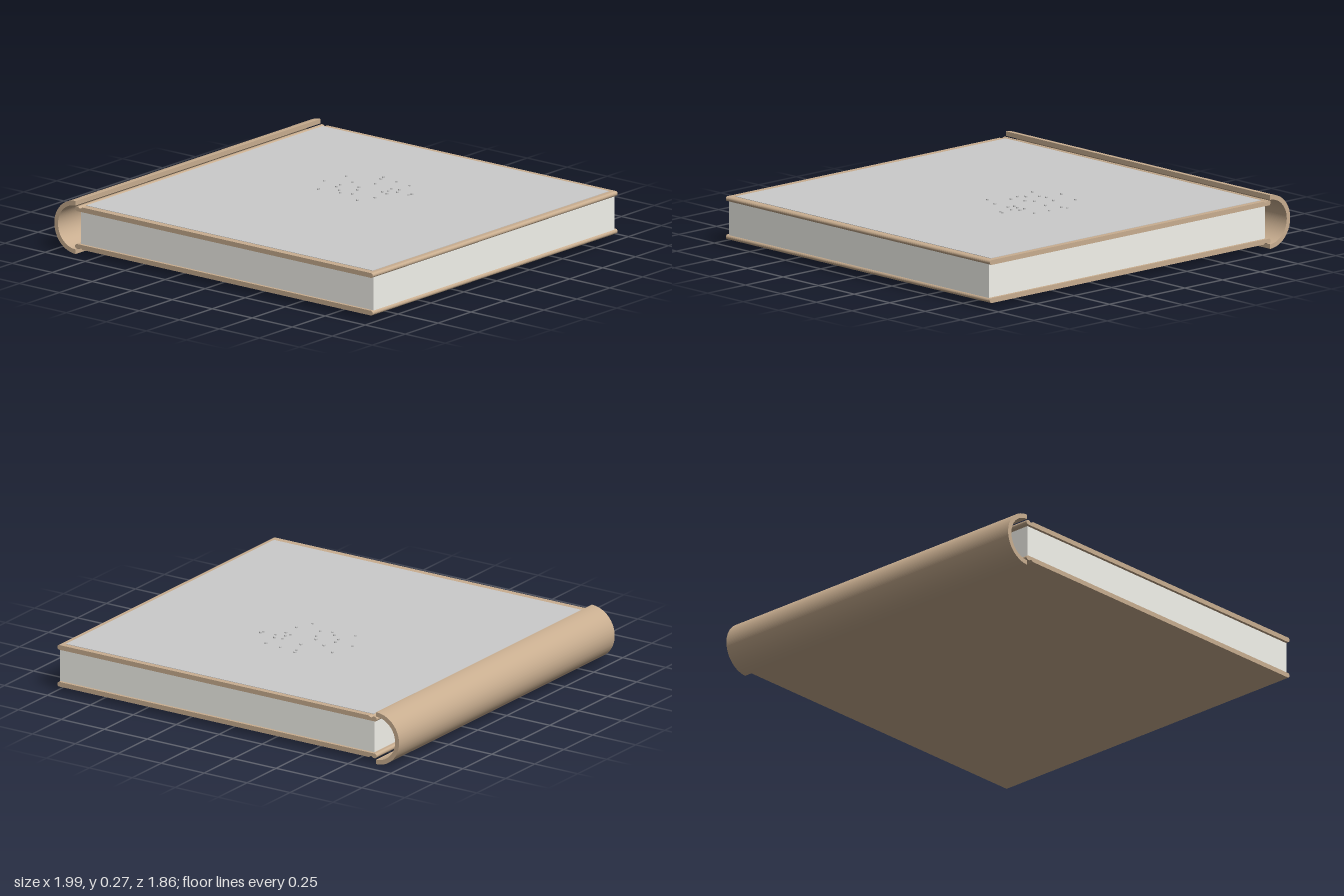
import * as THREE from 'three';

const DEPTH = 1.86;
const MID_Y = 0.135;

const material = (color) => new THREE.MeshStandardMaterial({ color });

// Extrude an x-y profile along z, centred on z = 0
function extrudeZ(shape, depth, curveSegments) {
  const geometry = new THREE.ExtrudeGeometry(shape, { depth, bevelEnabled: false, curveSegments });
  return geometry.translate(0, 0, -depth / 2);
}

// Cover board: rounded hinge bead, shallow groove, rounded fore-edge
function coverShape() {
  const left = -0.87, right = 0.99, h = 0.012;
  const s = new THREE.Shape();
  s.moveTo(left + h, -h);
  s.lineTo(right - h, -h);
  s.absarc(right - h, 0, h, -Math.PI / 2, Math.PI / 2, false);
  s.lineTo(-0.825, h);
  s.quadraticCurveTo(-0.838, h - 0.014, -0.85, h);
  s.lineTo(left + h, h);
  s.absarc(left + h, 0, h, Math.PI / 2, Math.PI * 1.5, false);
  return s;
}

// Spine: half ring, open towards the pages
function spineShape() {
  const cx = -0.867;
  const s = new THREE.Shape();
  s.absarc(cx, MID_Y, 0.133, Math.PI / 2, Math.PI * 1.5, false);
  s.absarc(cx, MID_Y, 0.11, Math.PI * 1.5, Math.PI / 2, true);
  s.closePath();
  return s;
}

export function createModel() {
  const group = new THREE.Group();
  const leather = material(0xc9ae90);
  const paper = material(0xf4f3ec);
  const grey = material(0xcccccc);

  const add = (name, geometry, mat, x = 0, y = 0, z = 0, parent = group) => {
    const mesh = new THREE.Mesh(geometry, mat);
    mesh.name = name;
    mesh.position.set(x, y, z);
    parent.add(mesh);
    return mesh;
  };

  // Binding
  add('spine', extrudeZ(spineShape(), DEPTH, 32), leather);
  const cover = extrudeZ(coverShape(), DEPTH, 8);
  add('frontCover', cover, leather, 0, 0.231, 0);
  add('backCover', cover, leather, 0, 0.042, 0).rotation.x = Math.PI;

  // Page block
  add('pages', new THREE.BoxGeometry(1.83, 0.17, 1.83), paper, 0.068, 0.1365, 0);

  // Thin panel on the front cover
  add('coverPanel', new THREE.BoxGeometry(1.79, 0.004, 1.795), grey, 0.064, 0.243, -0.004);

  // Scattered studs on the panel, as x, z pairs
  const studs = new THREE.Group();
  studs.name = 'studs';
  group.add(studs);
  const spots = [
    -0.03, -0.39, -0.02, -0.36, 0.07, -0.37, 0.16, -0.36, -0.18, -0.29, 0.01, -0.28,
    0.13, -0.26, 0.17, -0.27, 0.14, -0.22, 0.19, -0.23, 0.26, -0.23, 0.265, -0.25,
    -0.09, -0.23, -0.21, -0.16, -0.11, -0.16, -0.01, -0.18, 0.13, -0.19, 0.165, -0.18,
    -0.10, -0.12, 0.015, -0.14, -0.05, -0.08, 0.04, -0.07, -0.02, -0.05, 0.165, -0.09,
    -0.14, -0.03, 0.13, 0,
  ];
  const stud = new THREE.CylinderGeometry(0.007, 0.007, 0.008, 10);
  for (let i = 0; i < spots.length; i += 2) {
    add('stud', stud, grey, spots[i], 0.248, spots[i + 1], studs);
  }
  return group;
}
